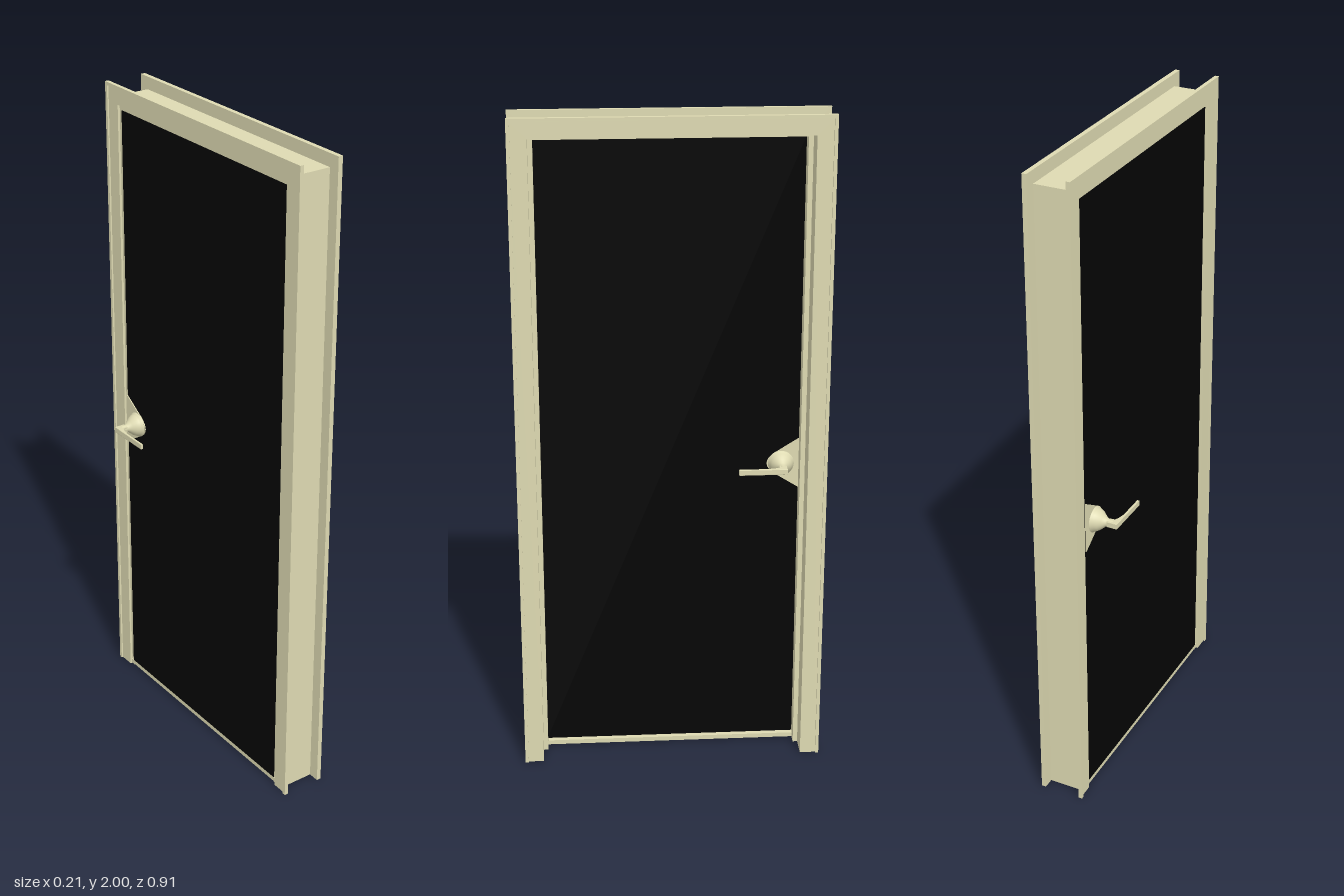
import * as THREE from 'three';

const tan = new THREE.MeshStandardMaterial({ color: 0xdedab2 });
const black = new THREE.MeshStandardMaterial({ color: 0x050505 });

const DOOR_BACK = -0.027, DOOR_FRONT = -0.012; // door faces along x
const HANDLE_Y = 0.934, HANDLE_Z = -0.333;

function add(parent, name, geometry, material = tan) {
  const mesh = new THREE.Mesh(geometry, material);
  mesh.name = name;
  parent.add(mesh);
  return mesh;
}

// Box given by its limits on each axis
function block(x0, x1, y0, y1, z0, z1) {
  return new THREE.BoxGeometry(x1 - x0, y1 - y0, z1 - z0)
    .translate((x0 + x1) / 2, (y0 + y1) / 2, (z0 + z1) / 2);
}

// Extrude an outline drawn in (-z, y) along x, from x0 to x1
function extrudeX(shape, x0, x1) {
  return new THREE.ExtrudeGeometry(shape, { depth: x1 - x0, bevelEnabled: false, curveSegments: 12 })
    .rotateY(Math.PI / 2).translate(x0, 0, 0);
}

// Upside-down U that goes around three sides of the doorway
function surround(outZ, outTop, inZ, inTop) {
  return new THREE.Shape([
    [-outZ, 0], [-inZ, 0], [-inZ, inTop], [inZ, inTop],
    [inZ, 0], [outZ, 0], [outZ, outTop], [-outZ, outTop],
  ].map(([u, y]) => new THREE.Vector2(u, y)));
}

// Lever handle, with its axis along +x and its base at the origin
function makeHandle() {
  const handle = new THREE.Group();
  const profile = [
    [0.039, 0], [0.039, 0.005], [0.035, 0.008], [0.034, 0.013], [0.029, 0.022],
    [0.021, 0.031], [0.014, 0.039], [0.011, 0.046], [0.011, 0.062],
  ].map(([r, h]) => new THREE.Vector2(r, h));
  add(handle, 'rose', new THREE.LatheGeometry(profile, 28).rotateZ(-Math.PI / 2));

  // Bent lever outline, seen from above
  const outline = new THREE.Shape([
    [0.045, 0.012], [0.045, -0.01], [0.06, -0.011], [0.066, -0.022], [0.071, -0.045],
    [0.071, -0.133], [0.078, -0.133], [0.078, 0.012],
  ].map(([x, v]) => new THREE.Vector2(x, v)));
  const lever = new THREE.ExtrudeGeometry(outline, {
    depth: 0.014, bevelEnabled: true, bevelSize: 0.0015, bevelOffset: -0.0015,
    bevelThickness: 0.002, bevelSegments: 2,
  });
  add(handle, 'lever', lever.rotateX(-Math.PI / 2).translate(0, -0.007, 0));
  return handle;
}

export function createModel() {
  const model = new THREE.Group();
  model.name = 'doorWithFrame';

  // Jamb, and the stop that lines the door
  add(model, 'jamb', extrudeX(surround(0.423, 1.962, 0.4, 1.942), -0.027, 0.09));
  add(model, 'doorStop', extrudeX(surround(0.402, 1.944, 0.386, 1.926), DOOR_BACK + 0.002, 0.028));

  // Casing on each face: a flat board with a thicker outer lip
  for (const [side, x0, x1, lip0, lip1] of [
    ['back', -0.032, -0.025, -0.037, -0.025],
    ['front', 0.088, 0.096, 0.088, 0.102],
  ]) {
    add(model, side + 'Casing', extrudeX(surround(0.448, 1.991, 0.4, 1.942), x0, x1));
    add(model, side + 'CasingLip', extrudeX(surround(0.457, 2, 0.447, 1.99), lip0, lip1));
  }

  // Threshold below the door
  add(model, 'threshold', block(DOOR_BACK, 0.004, 0.005, 0.019, -0.4, 0.4));

  // Door panel
  add(model, 'doorPanel', block(DOOR_BACK, DOOR_FRONT, 0.019, 1.928, -0.388, 0.388), black);

  // Lock plate: a rounded triangle on both faces of the door
  const plate = new THREE.Shape();
  plate.moveTo(0.388, 0.854);
  plate.lineTo(0.388, 1.014);
  plate.lineTo(0.31, 0.965);
  plate.quadraticCurveTo(0.27, HANDLE_Y, 0.31, 0.903);
  plate.closePath();
  add(model, 'lockPlate', extrudeX(plate, DOOR_BACK - 0.003, DOOR_FRONT + 0.003));

  // One handle on each side, the back one turned around z
  for (const [name, x, turn] of [['frontHandle', DOOR_FRONT, 0], ['backHandle', DOOR_BACK, Math.PI]]) {
    const handle = makeHandle();
    handle.name = name;
    handle.position.set(x, HANDLE_Y, HANDLE_Z);
    handle.rotation.z = turn;
    model.add(handle);
  }
  return model;
}
